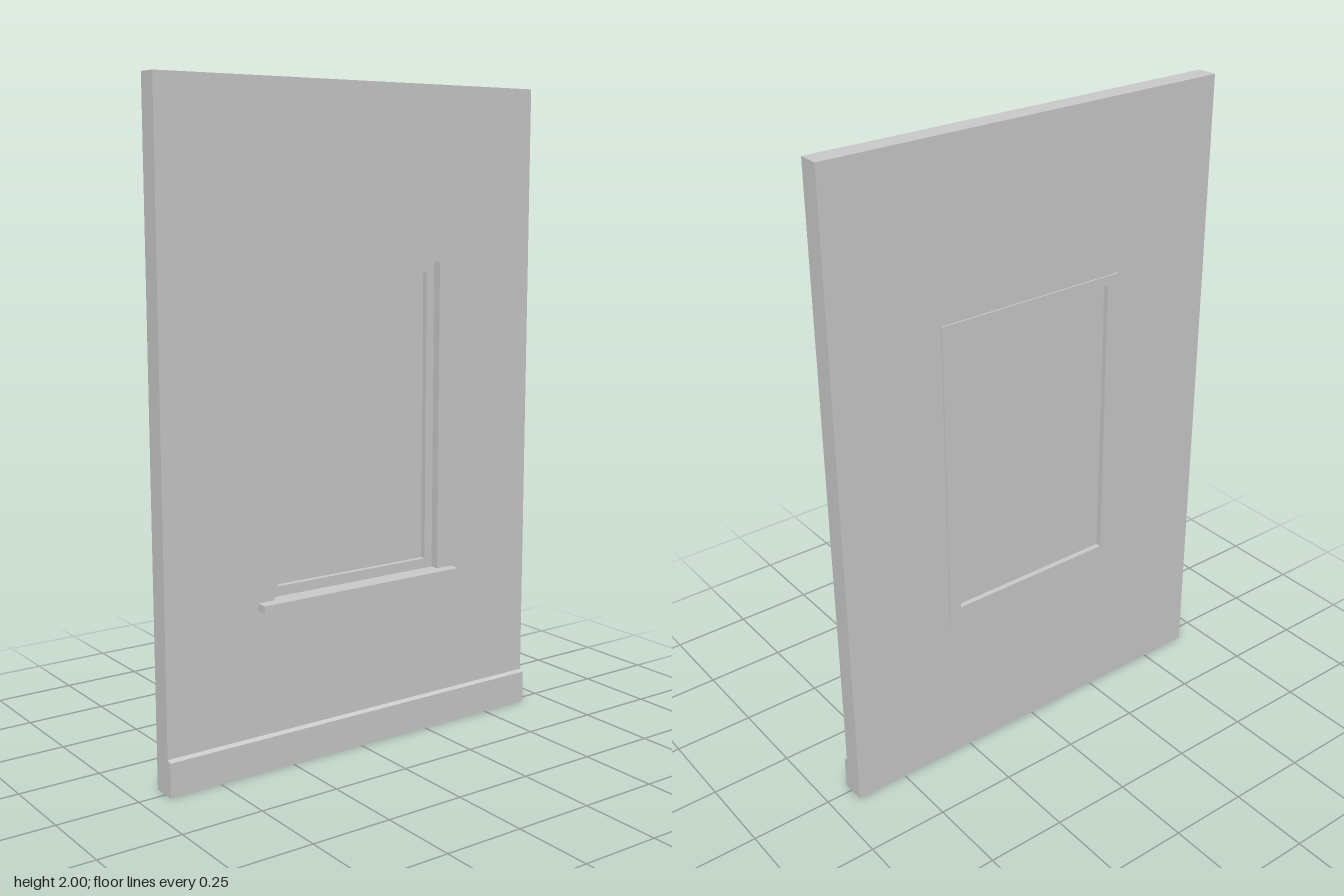
import * as THREE from 'three';

const material = new THREE.MeshStandardMaterial({ color: 0xcccccc });

// Axis-aligned rectangle path from its edges
function rect(Path, x0, x1, y0, y1) {
  return new Path([[x0, y0], [x1, y0], [x1, y1], [x0, y1]].map(([x, y]) => new THREE.Vector2(x, y)));
}

// Rectangular panel with a rectangular hole, spanning z0 to z1
function panelWithHole(outer, hole, z0, z1) {
  const shape = rect(THREE.Shape, ...outer);
  shape.holes.push(rect(THREE.Path, ...hole));
  return new THREE.ExtrudeGeometry(shape, { depth: z1 - z0, bevelEnabled: false }).translate(0, 0, z0);
}

function box(x0, x1, y0, y1, z0, z1) {
  return new THREE.BoxGeometry(x1 - x0, y1 - y0, z1 - z0)
    .translate((x0 + x1) / 2, (y0 + y1) / 2, (z0 + z1) / 2);
}

export function createModel() {
  const group = new THREE.Group();
  const add = (name, geometry) => {
    const mesh = new THREE.Mesh(geometry, material);
    mesh.name = name;
    group.add(mesh);
  };

  const halfWidth = 0.665;
  const wallBack = -0.047, wallFront = 0.016;
  const opening = [-0.304, 0.304, 0.49, 1.475];
  const light = [-0.275, 0.275, 0.543, 1.445];

  // Wall slab with the window opening cut through
  add('wall', panelWithHole([-halfWidth, halfWidth, 0, 2], opening, wallBack, wallFront));

  // Window frame set back in the opening, with a thin flange on the back of the wall
  add('windowFrame', panelWithHole(opening, light, -0.052, -0.012));
  add('backFlange', panelWithHole([-0.315, 0.315, 0.49, 1.475], light, -0.052, wallBack));

  // Pane recessed from both faces of the frame
  add('windowPane', box(-0.275, 0.275, 0.543, 1.445, -0.035, -0.029));

  // Sill: board across the front plus the part reaching into the opening
  add('sillBoard', box(-0.36, 0.36, 0.49, 0.512, wallFront, 0.052));
  add('sillInner', box(-0.304, 0.304, 0.49, 0.512, -0.012, wallFront));

  // Baseboard with a slightly sloped top, swept along x
  const profile = new THREE.Shape([[0, 0], [0.014, 0], [0.014, 0.103], [0, 0.109]]
    .map(([z, y]) => new THREE.Vector2(-z, y)).reverse());
  const baseboard = new THREE.ExtrudeGeometry(profile, { depth: 2 * halfWidth, bevelEnabled: false });
  baseboard.rotateY(Math.PI / 2).translate(-halfWidth, 0, wallFront);
  add('baseboard', baseboard);

  return group;
}
